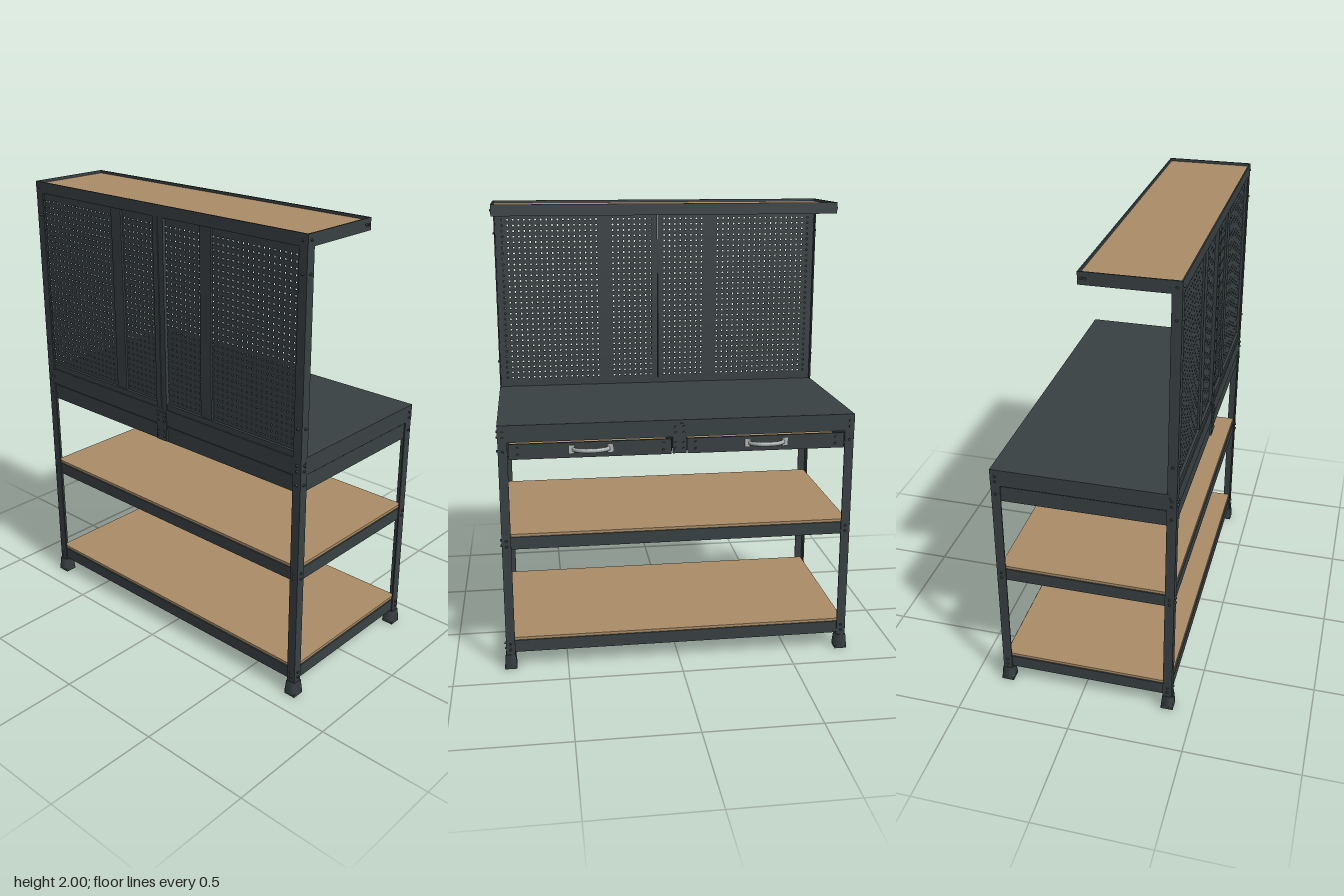
import * as THREE from 'three';

const steel = new THREE.MeshStandardMaterial({ color: 0x394143 });
const wood = new THREE.MeshStandardMaterial({ color: 0xab8d68 });
const silver = new THREE.MeshStandardMaterial({ color: 0xb4b8b8 });

// Box given by its limits on each axis
function box(parent, name, mat, x0, x1, y0, y1, z0, z1) {
  const m = new THREE.Mesh(new THREE.BoxGeometry(Math.abs(x1 - x0), Math.abs(y1 - y0), Math.abs(z1 - z0)), mat);
  m.position.set((x0 + x1) / 2, (y0 + y1) / 2, (z0 + z1) / 2);
  m.name = name;
  parent.add(m);
  return m;
}

// Small round bolt head; axis is 'x' or 'z'
const boltGeo = new THREE.CylinderGeometry(0.005, 0.006, 0.007, 8);
function bolt(parent, x, y, z, axis) {
  const m = new THREE.Mesh(boltGeo, steel);
  m.name = 'bolt';
  m.position.set(x, y, z);
  if (axis === 'x') m.rotation.z = -Math.sign(x) * Math.PI / 2;
  else m.rotation.x = Math.sign(z) * Math.PI / 2;
  parent.add(m);
}

const T = 0.006, W = 0.04, XB = -0.404, XF = 0.37, Z = 0.772;

// L-section post with its corner at (x, z), opening towards the middle
function post(parent, x, z, y1, bolts) {
  const g = new THREE.Group();
  g.name = x < 0 ? 'backPost' : 'frontPost';
  const sx = -Math.sign(x), sz = -Math.sign(z);
  box(g, 'postFlangeX', steel, x, x + sx * W, 0.01, y1, z, z + sz * T);
  box(g, 'postFlangeZ', steel, x, x + sx * T, 0.01, y1, z, z + sz * W);
  const foot = new THREE.Mesh(new THREE.CylinderGeometry(0.031, 0.038, 0.055, 4, 1).rotateY(Math.PI / 4), steel);
  foot.name = 'foot';
  foot.position.set(x + sx * 0.019, 0.0395, z + sz * 0.019);
  const pad = box(g, 'footPad', steel, -0.027, 0.027, 0, 0.012, -0.027, 0.027);
  pad.position.x = foot.position.x;
  pad.position.z = foot.position.z;
  g.add(foot);
  for (const y of bolts) {
    bolt(g, x - sx * 0.003, y, z + sz * 0.02, 'x');
    bolt(g, x + sx * 0.02, y, z - sz * 0.003, 'z');
  }
  parent.add(g);
}

// Rectangular frame of L-section beams with a lip turned inwards at height yl
function frame(parent, name, x0, x1, zz, y0, y1, yl) {
  const g = new THREE.Group();
  g.name = name;
  const lip = 0.035;
  for (const s of [-1, 1]) {
    box(g, 'sideBeam', steel, x0, x1, y0, y1, s * zz, s * (zz - T));
    box(g, 'sideLip', steel, x0, x1, yl - T, yl, s * zz, s * (zz - lip));
    const x = s < 0 ? x0 : x1;
    box(g, 'longBeam', steel, x, x - s * T, y0, y1, -zz, zz);
    box(g, 'longLip', steel, x, x - s * lip, yl - T, yl, -zz, zz);
  }
  parent.add(g);
  return g;
}

// Perforated sheet lying between z0 and z1, facing +x
function pegPanel(parent, z0, z1, y0, y1, pitch, solid) {
  const s = new THREE.Shape();
  s.moveTo(z0, y0); s.lineTo(z1, y0); s.lineTo(z1, y1); s.lineTo(z0, y1); s.closePath();
  const nz = Math.floor((z1 - z0 - 0.02) / pitch), ny = Math.floor((y1 - y0 - 0.05) / pitch);
  const mz = (z0 + z1 - (nz - 1) * pitch) / 2, my = (y0 + y1 - (ny - 1) * pitch) / 2;
  for (let i = 0; i < nz; i++) {
    const z = mz + i * pitch;
    if (Math.abs(z) > solid[0] && Math.abs(z) < solid[1]) continue;
    for (let j = 0; j < ny; j++) {
      const h = new THREE.Path();
      h.absarc(z, my + j * pitch, 0.0048, 0, Math.PI * 2, true);
      s.holes.push(h);
    }
  }
  const geo = new THREE.ExtrudeGeometry(s, { depth: 0.004, bevelEnabled: false, curveSegments: 3 });
  geo.rotateY(-Math.PI / 2);
  const m = new THREE.Mesh(geo, steel);
  m.name = 'pegPanel';
  m.position.x = -0.382;
  parent.add(m);
}

// Drawer with wooden base, steel walls and bowed pull
function drawer(parent, s) {
  const g = new THREE.Group();
  g.name = 'drawer';
  const a = s * 0.035, b = s * 0.728;
  box(g, 'drawerFront', steel, 0.358, 0.37, 0.965, 1.032, a, b);
  box(g, 'drawerBase', wood, -0.34, 0.358, 0.984, 0.99, a, b);
  for (const z of [a, b]) box(g, 'drawerSide', steel, -0.34, 0.358, 0.975, 1.028, z - 0.003, z + 0.003);
  box(g, 'drawerBack', steel, -0.343, -0.337, 0.975, 1.028, a, b);
  const c = s * 0.38;
  const pts = [[0.372, -0.078], [0.389, -0.062], [0.402, -0.035], [0.406, 0], [0.402, 0.035], [0.389, 0.062], [0.372, 0.078]];
  const curve = new THREE.CatmullRomCurve3(pts.map(p => new THREE.Vector3(p[0], 0, c + p[1])));
  const pull = new THREE.Mesh(new THREE.TubeGeometry(curve, 24, 0.005, 8).scale(1, 2, 1), silver);
  pull.name = 'handle';
  pull.position.y = 1.002;
  g.add(pull);
  for (const e of [-1, 1]) {
    box(g, 'handlePlate', silver, 0.37, 0.376, 0.984, 1.02, c + e * 0.07, c + e * 0.096);
    for (const y of [0.985, 1.015]) bolt(g, 0.372, y, s * 0.38 + e * 0.31, 'x');
  }
  parent.add(g);
}

export function createModel() {
  const root = new THREE.Group();
  root.name = 'workbench';

  // Four posts on flared feet, the back pair reaching the top shelf
  const low = [0.09, 0.115, 0.575, 0.6, 1.0, 1.06, 1.085];
  for (const s of [-1, 1]) {
    post(root, XB, s * Z, 2, [...low, 1.24, 1.85, 1.975]);
    post(root, XF, s * Z, 1.113, low);
  }

  // Two open shelves with boards standing slightly proud of their beams
  for (const y of [0.075, 0.56]) {
    const g = frame(root, 'shelf', XB + T, XF - T, Z - T, y, y + 0.055, y + 0.046);
    box(g, 'shelfBoard', wood, XB + 2 * T, XF - 2 * T, y + 0.046, y + 0.067, -Z + 2 * T, Z - 2 * T);
  }

  // Worktop, its apron and the drawer frame below
  const top = new THREE.Group();
  top.name = 'worktop';
  box(top, 'topPlate', steel, -0.375, XF + 0.001, 1.04, 1.115, -Z - 0.001, Z + 0.001);
  box(top, 'backApron', steel, XB + 0.001, -0.375, 1.04, 1.115, -Z + T, Z - T);
  box(top, 'backRail', steel, XB + T, XB + 2 * T, 0.965, 1.034, -Z + T, Z - T);
  box(top, 'backRailLip', steel, XB + T, XB + 0.045, 0.965, 0.971, -Z + T, Z - T);
  for (const s of [-1, 1]) {
    box(top, 'sideRail', steel, XB + T, XF - T, 0.965, 1.034, s * (Z - T), s * (Z - 2 * T));
    box(top, 'sideRailLip', steel, XB + T, XF - T, 0.965, 0.971, s * (Z - T), s * (Z - 0.04));
  }
  // Centre rail with a bracket at each end
  box(top, 'centreRail', steel, XB + T, XF - T, 0.975, 1.04, -0.024, 0.024);
  box(top, 'frontBracket', steel, XF - T, XF + 0.003, 0.968, 1.1, -0.03, 0.03);
  box(top, 'backBracket', steel, XB - 0.002, XB + T, 0.968, 1.1, -0.03, 0.03);
  for (const z of [-0.018, 0.018]) for (const y of [0.99, 1.015, 1.06, 1.085]) {
    bolt(top, XF + 0.004, y, z, 'x');
    bolt(top, XB - 0.003, y, z, 'x');
  }
  root.add(top);
  for (const s of [-1, 1]) drawer(root, s);

  // Pegboard back wall with stiffeners behind
  const wall = new THREE.Group();
  wall.name = 'pegboard';
  for (const s of [-1, 1]) {
    pegPanel(wall, s < 0 ? -Z + T : 0.001, s < 0 ? -0.001 : Z - T, 1.115, 1.955, 0.026, [0.225, 0.292]);
    box(wall, 'stiffener', steel, -0.395, -0.386, 1.115, 1.955, s * 0.228, s * 0.288);
    box(wall, 'seamFlange', steel, XB + 0.002, -0.387, 1.115, 1.955, s * 0.002, s * 0.03);
    box(wall, 'edgeFlange', steel, XB + T, -0.386, 1.115, 1.955, s * (Z - T), s * (Z - 0.03));
  }
  box(wall, 'bottomFlange', steel, XB + T, -0.386, 1.115, 1.14, -Z + T, Z - T);
  root.add(wall);

  // Cantilevered top shelf with the board set inside its rim
  const upper = frame(root, 'topShelf', XB, -0.02, Z + 0.001, 1.95, 2, 1.968);
  box(upper, 'topShelfBoard', wood, XB + T, -0.02 - T, 1.968, 1.988, -Z + T, Z - T);
  for (const s of [-1, 1]) for (const x of [-0.05, -0.035]) bolt(upper, x, 1.975, s * (Z + 0.003), 'z');

  return root;
}
